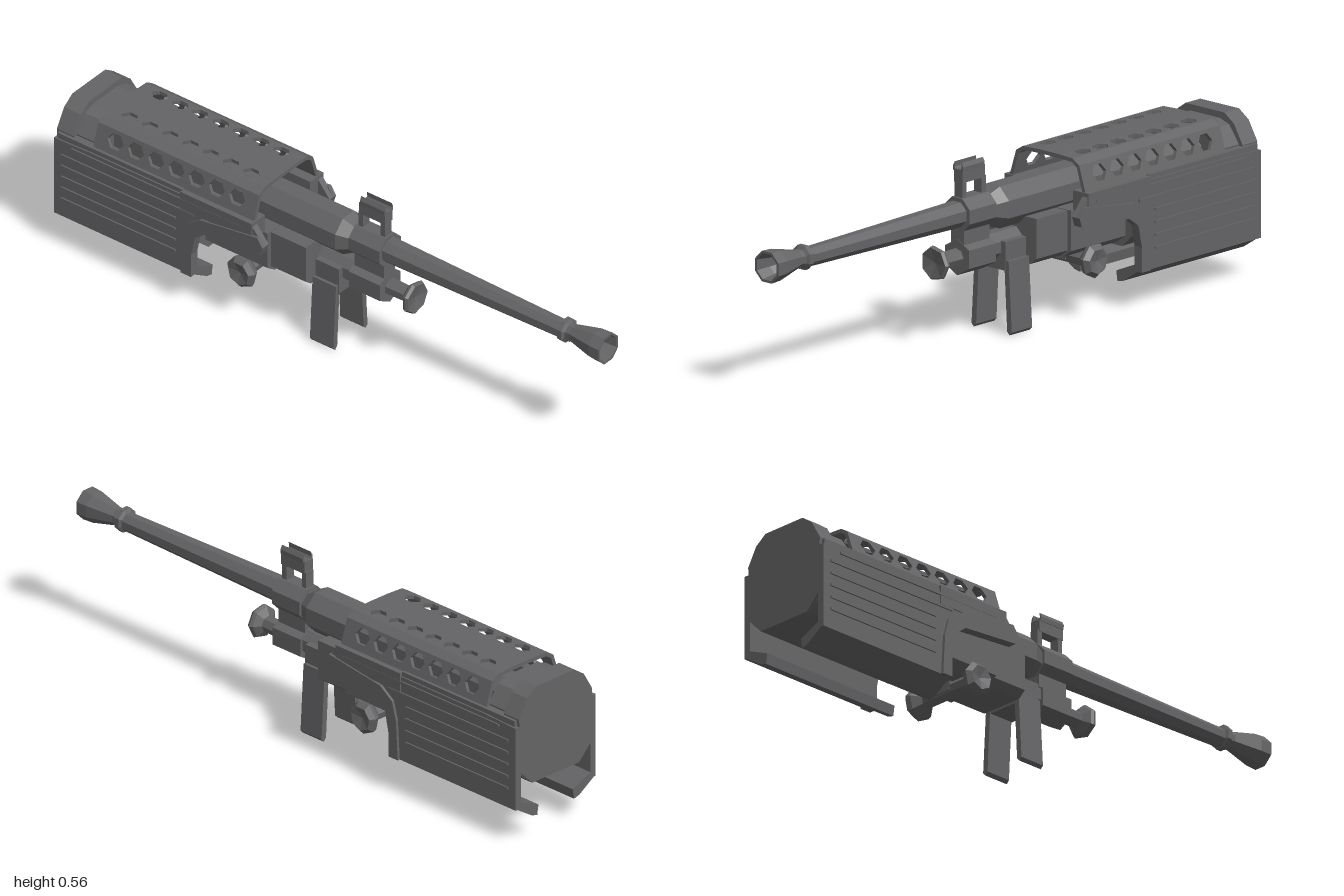
import * as THREE from 'three';

const steel = new THREE.MeshStandardMaterial({ color: 0x646466, flatShading: true, side: THREE.DoubleSide });
steel.name = 'gunmetal grey';

export function createModel() {
  const root = new THREE.Group();
  root.name = 'gunFrontAssembly';
  // the whole assembly is turned slightly about the vertical
  root.rotation.y = 0.035;
  root.position.z = -0.02;

  function add(name, geo, parent = root) {
    const m = new THREE.Mesh(geo, steel);
    m.name = name;
    parent.add(m);
    return m;
  }
  // box given by its limits
  function box(name, x0, x1, y0, y1, z0, z1) {
    const g = new THREE.BoxGeometry(x1 - x0, y1 - y0, z1 - z0);
    g.translate((x0 + x1) / 2, (y0 + y1) / 2, (z0 + z1) / 2);
    return add(name, g);
  }
  // turned part along x: profile of [x, radius]
  function turned(name, profile, y, sides = 8, z = 0) {
    const g = new THREE.LatheGeometry(profile.map(([x, r]) => new THREE.Vector2(r, x)), sides);
    g.rotateY(Math.PI / sides);
    g.rotateZ(-Math.PI / 2);
    g.translate(0, y, z);
    return add(name, g);
  }
  const polygon = pts => new THREE.Shape(pts.map(p => new THREE.Vector2(p[0], p[1])));
  const slab = (shape, depth) => new THREE.ExtrudeGeometry(shape, { depth, bevelEnabled: false });
  // symmetric cross-section of [z, y] (right half, bottom to top) swept along x
  function section(name, half, x0, x1) {
    const pts = [...half, ...half.map(([z, y]) => [-z, y]).reverse()];
    const g = slab(polygon(pts.map(([z, y]) => [-z, y])), x1 - x0);
    g.rotateY(Math.PI / 2);
    g.translate(x0, 0, 0);
    return add(name, g);
  }

  // receiver
  section('receiverBody', [[0.1, 0.19], [0.145, 0.23], [0.145, 0.35]], -0.99, -0.46);
  section('receiverFront', [[0.08, 0.2], [0.115, 0.225], [0.115, 0.352]], -0.46, -0.22);
  section('receiverNose', [[0.075, 0.205], [0.1, 0.225], [0.1, 0.35]], -0.22, -0.085);
  section('rearCap', [[0.1, 0.19], [0.15, 0.24], [0.155, 0.42], [0.12, 0.48], [0.08, 0.508]], -1, -0.935);
  section('rearCollar', [[0.13, 0.34], [0.14, 0.42], [0.1, 0.475], [0.06, 0.488]], -0.935, -0.855);

  // barrel, shroud and muzzle
  turned('barrelShroud', [[-0.86, 0], [-0.86, 0.066], [-0.24, 0.071], [0, 0.071], [0.04, 0.05], [0.04, 0]], 0.39);
  turned('barrel', [[0.03, 0.044], [0.16, 0.042], [0.86, 0.03]], 0.397);
  turned('muzzleRing', [[0.825, 0.026], [0.832, 0.04], [0.848, 0.04], [0.856, 0.026]], 0.4);
  turned('flashHider', [[0.845, 0.028], [0.87, 0.029], [0.96, 0.05], [1, 0.052], [1, 0.044], [0.95, 0.036], [0.9, 0.02], [0.9, 0]], 0.4);

  // gas tube, block and regulator
  turned('gasTube', [[-0.09, 0.045], [0.05, 0.045]], 0.27);
  turned('gasBlock', [[0.04, 0], [0.04, 0.057], [0.16, 0.057], [0.16, 0]], 0.262, 6);
  turned('gasRegulator', [[0.15, 0.028], [0.23, 0.026], [0.245, 0.05], [0.255, 0.055], [0.265, 0.05], [0.255, 0]], 0.262, 7);

  // front sight
  box('sightBridge', 0.045, 0.158, 0.29, 0.37, -0.027, 0.027);
  turned('barrelClamp', [[0.042, 0.04], [0.042, 0.057], [0.16, 0.057], [0.16, 0.04]], 0.395);
  for (const x of [0.05, 0.135]) box('sightPillar', x, x + 0.018, 0.44, 0.5, -0.016, 0.016);
  box('sightBase', 0.055, 0.155, 0.495, 0.535, -0.018, 0.018);
  for (const s of [-1, 1]) {
    const ear = polygon([[s * 0.006, 0.53], [s * 0.02, 0.53], [s * 0.021, 0.545], [s * 0.014, 0.558], [s * 0.015, 0.542]]);
    const g = slab(ear, 0.095);
    g.rotateY(Math.PI / 2);
    g.translate(0.06, 0, 0);
    add('sightEar', g);
  }

  // bipod legs
  box('bipodMount', -0.08, 0.01, 0.2, 0.29, -0.06, 0.06);
  for (const s of [-1, 1]) {
    const leg = polygon([[s * 0.052, 0.23], [s * 0.07, 0.23], [s * 0.083, 0.01], [s * 0.074, 0], [s * 0.064, 0.01]]);
    const g = slab(leg, 0.09);
    g.rotateY(Math.PI / 2);
    g.translate(-0.083, 0, 0);
    add('bipodLeg', g);
  }

  // crossbar with flared knobs under the receiver
  const bar = new THREE.LatheGeometry([[0, -0.135], [0.04, -0.145], [0.055, -0.13], [0.05, -0.115], [0.025, -0.09],
    [0.025, 0.09], [0.05, 0.115], [0.055, 0.13], [0.04, 0.145], [0, 0.135]].map(p => new THREE.Vector2(p[0], p[1])), 7);
  bar.rotateX(Math.PI / 2);
  bar.translate(-0.31, 0.18, 0);
  add('crossbarKnobs', bar);
  box('crossbarBracket', -0.335, -0.285, 0.17, 0.22, -0.03, 0.03);

  // side guards, mirrored
  const panel = polygon([[-1, 0.12], [-0.465, 0.12], [-0.465, 0.2], [-0.45, 0.27], [-0.41, 0.3], [-0.2, 0.315],
    [-0.19, 0.345], [-0.235, 0.4], [-0.86, 0.4], [-1, 0.395]]);
  const rib = polygon([[-0.505, 0.12], [-0.465, 0.12], [-0.465, 0.2], [-0.45, 0.27], [-0.41, 0.3], [-0.2, 0.315],
    [-0.19, 0.345], [-0.21, 0.375], [-0.43, 0.345], [-0.48, 0.31], [-0.497, 0.25]]);
  const ridges = [[-0.93, -0.27, 0.383], [-0.97, -0.46, 0.345], [-0.97, -0.53, 0.305], [-0.97, -0.53, 0.265],
    [-0.97, -0.53, 0.225], [-0.97, -0.53, 0.185]];
  for (const s of [-1, 1]) {
    const place = (name, shape, z, d) => {
      const g = slab(shape, d);
      g.translate(0, 0, s > 0 ? z : -z - d);
      add(name, g);
    };
    place('sideGuard', panel, 0.148, 0.022);
    place('guardRib', rib, 0.165, 0.014);
    const span = (name, x0, x1, y0, y1, z0, z1) =>
      box(name, x0, x1, y0, y1, Math.min(s * z0, s * z1), Math.max(s * z0, s * z1));
    span('guardTopRail', -0.99, -0.51, 0.35, 0.415, 0.115, 0.165);
    span('guardTopRail', -0.51, -0.235, 0.35, 0.412, 0.11, 0.174);
    for (const [x0, x1, y] of ridges) span('guardRidge', x0, x1, y - 0.004, y + 0.004, 0.165, 0.175);
    // inward lip along the bottom edge
    const lip = polygon([[s * 0.17, 0.125], [s * 0.148, 0.14], [s * 0.073, 0.108], [s * 0.078, 0.075], [s * 0.1, 0.08]]);
    const g = slab(lip, 0.535);
    g.rotateY(Math.PI / 2);
    g.translate(-1, 0, 0);
    add('guardLip', g);
  }

  // perforated cover: flat strips over an arch, some with hexagonal holes
  const cover = new THREE.Group();
  cover.name = 'ventCover';
  root.add(cover);
  const arch = [[0.158, 0.405], [0.13, 0.492], [0.103, 0.509], [0.042, 0.512]];
  const full = [...arch, ...arch.map(([z, y]) => [-z, y]).reverse()];
  const holeHeight = [0.025, 0, 0.02, 0, 0.02, 0, 0.025];
  const x0 = -0.86, x1 = -0.24, thick = 0.012;
  for (let i = 0; i < full.length - 1; i++) {
    const [za, ya] = full[i], [zb, yb] = full[i + 1];
    const len = Math.hypot(zb - za, yb - ya);
    const shape = polygon([[x0, 0], [x1, 0], [x1, len], [x0, len]]);
    const h = holeHeight[i];
    const mid = i === 0 ? len * 0.6 : i === 6 ? len * 0.4 : len / 2;
    for (let k = 0; h && k < 7; k++) {
      const cx = -0.785 + k * 0.078;
      const hole = new THREE.Path();
      hole.setFromPoints([[-0.031, 0], [-0.014, -h], [0.014, -h], [0.031, 0], [0.014, h], [-0.014, h]]
        .map(p => new THREE.Vector2(cx + p[0], mid + p[1])));
      shape.holes.push(hole);
    }
    const along = new THREE.Vector3(1, 0, 0);
    const across = new THREE.Vector3(0, (yb - ya) / len, (zb - za) / len);
    const out = new THREE.Vector3().crossVectors(along, across);
    const g = slab(shape, thick);
    g.translate(0, 0, -thick);
    g.applyMatrix4(new THREE.Matrix4().makeBasis(along, across, out).setPosition(0, ya, za));
    add('coverStrip', g, cover);
  }
  return root;
}
